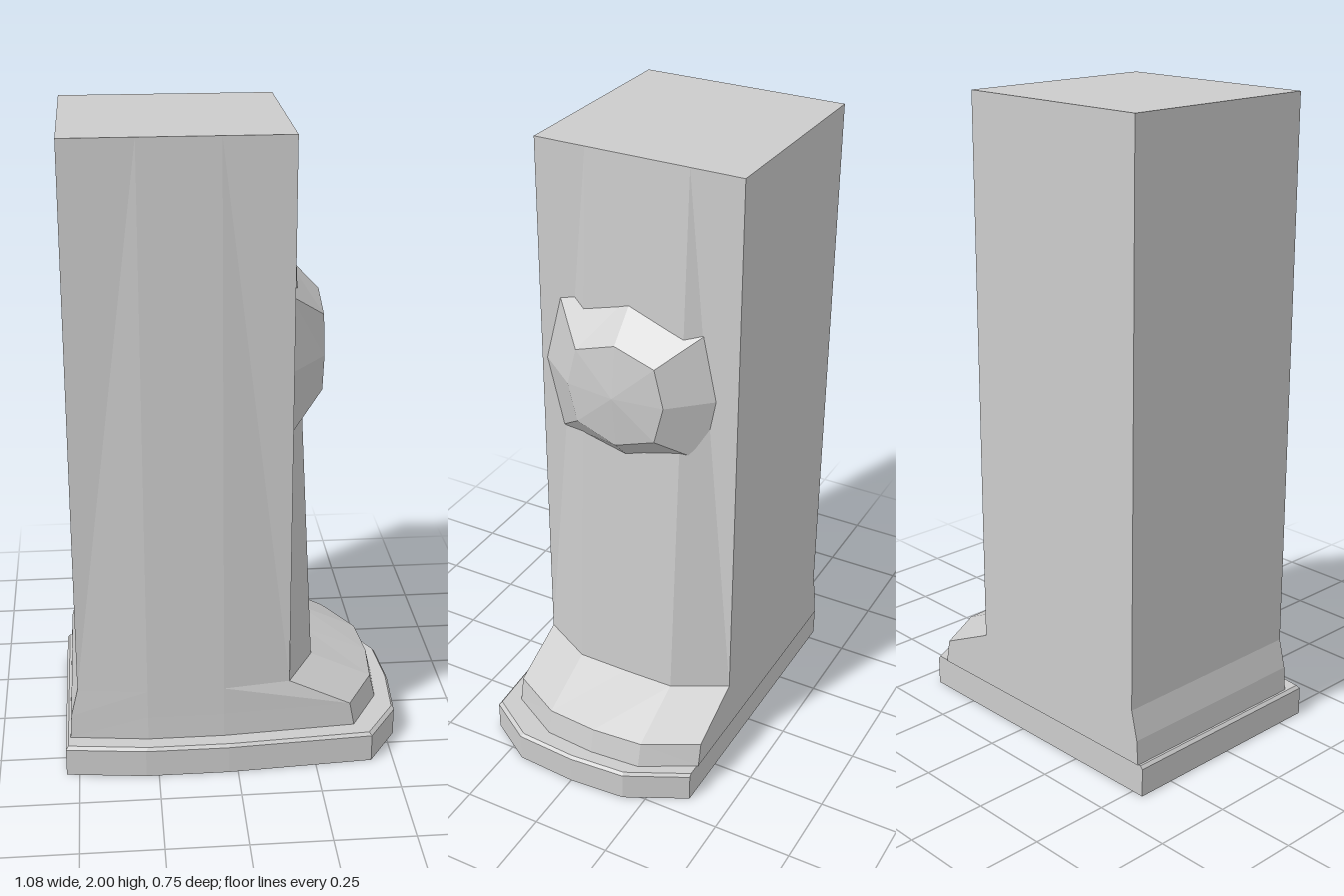
import * as THREE from 'three';

const material = new THREE.MeshStandardMaterial({ color: 0xcccccc, flatShading: true });

// Skins a stack of rings; edges listed in `flip` use the other quad diagonal.
function loft(name, rings, { flip = [], top = false, bottom = false } = {}) {
  const pos = [];
  const tri = (a, b, c) => pos.push(...a, ...b, ...c);
  const n = rings[0].length;
  for (let r = 0; r < rings.length - 1; r++) {
    for (let i = 0; i < n; i++) {
      const j = (i + 1) % n;
      const a = rings[r][i], b = rings[r][j], A = rings[r + 1][i], B = rings[r + 1][j];
      if (flip.includes(i)) { tri(a, b, A); tri(b, B, A); }
      else { tri(a, b, B); tri(a, B, A); }
    }
  }
  const last = rings[rings.length - 1];
  for (let i = 1; i < n - 1; i++) {
    if (top) tri(last[0], last[i], last[i + 1]);
    if (bottom) tri(rings[0][0], rings[0][i + 1], rings[0][i]);
  }
  const g = new THREE.BufferGeometry();
  g.setAttribute('position', new THREE.Float32BufferAttribute(pos, 3));
  g.computeVertexNormals();
  const mesh = new THREE.Mesh(g, material);
  mesh.name = name;
  return mesh;
}

// Horizontal section: flat back, bowed front, faceted rounded right end.
// xl left, xc right corners, xi inner end points, xm end middle, zc/zf front corner/middle
function section(y, xl, xc, xi, xm, zc, zf) {
  return [
    [xl, y, -0.376], [xl, y, zc], [-0.28, y, zf], [-0.04, y, zf], [xc, y, zc],
    [xi, y, 0.12], [xm, y, -0.045], [xi, y, -0.21], [xc, y, -0.376],
  ];
}

export function createModel() {
  const model = new THREE.Group();

  // Base slab with a narrow bevelled rim
  const slab = (y, inset) => [
    [-0.54, -0.372], [-0.54, 0.345], [-0.29, 0.374], [-0.03, 0.374], [0.43, 0.345],
    [0.527, 0.197], [0.54, 0], [0.527, -0.183], [0.43, -0.372],
  ].map(([x, z]) => [x - Math.sign(x) * inset, y, z > 0 ? z - inset : z]);
  model.add(loft('baseSlab', [slab(0, 0), slab(0.09, 0), slab(0.1, 0.008)], { top: true, bottom: true }));

  // Flared foot
  const flip = [3, 7];
  model.add(loft('foot', [
    section(0.1, -0.525, 0.38, 0.475, 0.488, 0.288, 0.318),
    section(0.178, -0.52, 0.365, 0.457, 0.47, 0.287, 0.316),
    section(0.27, -0.498, 0.17, 0.26, 0.262, 0.286, 0.315),
  ], { flip }));

  // Tall shaft whose bulges fade into a plain rectangle at the top
  model.add(loft('shaft', [
    section(0.27, -0.498, 0.17, 0.26, 0.262, 0.286, 0.315),
    section(2, -0.498, 0.17, 0.17, 0.17, 0.286, 0.286),
  ], { flip, top: true }));

  // Faceted eight-sided boss on the right face
  const cy = 1.3, cz = -0.03;
  const ring = (x, pts) => pts.map(([z, y]) => [x, cy + y, cz + z]);
  const outer = [[0.305, 0], [0.25, -0.225], [0, -0.285], [-0.24, -0.215],
    [-0.28, 0], [-0.235, 0.205], [0, 0.285], [0.25, 0.217]];
  const inner = [[0.16, 0], [0.13, -0.12], [0, -0.167], [-0.13, -0.12],
    [-0.16, 0], [-0.13, 0.12], [0, 0.163], [0.13, 0.12]];
  const apex = inner.map(() => [0, 0]);
  model.add(loft('sideBoss', [ring(0.165, outer), ring(0.28, inner), ring(0.3, apex)]));

  // Boss rings run counter-clockwise seen from outside
  return model;
}
